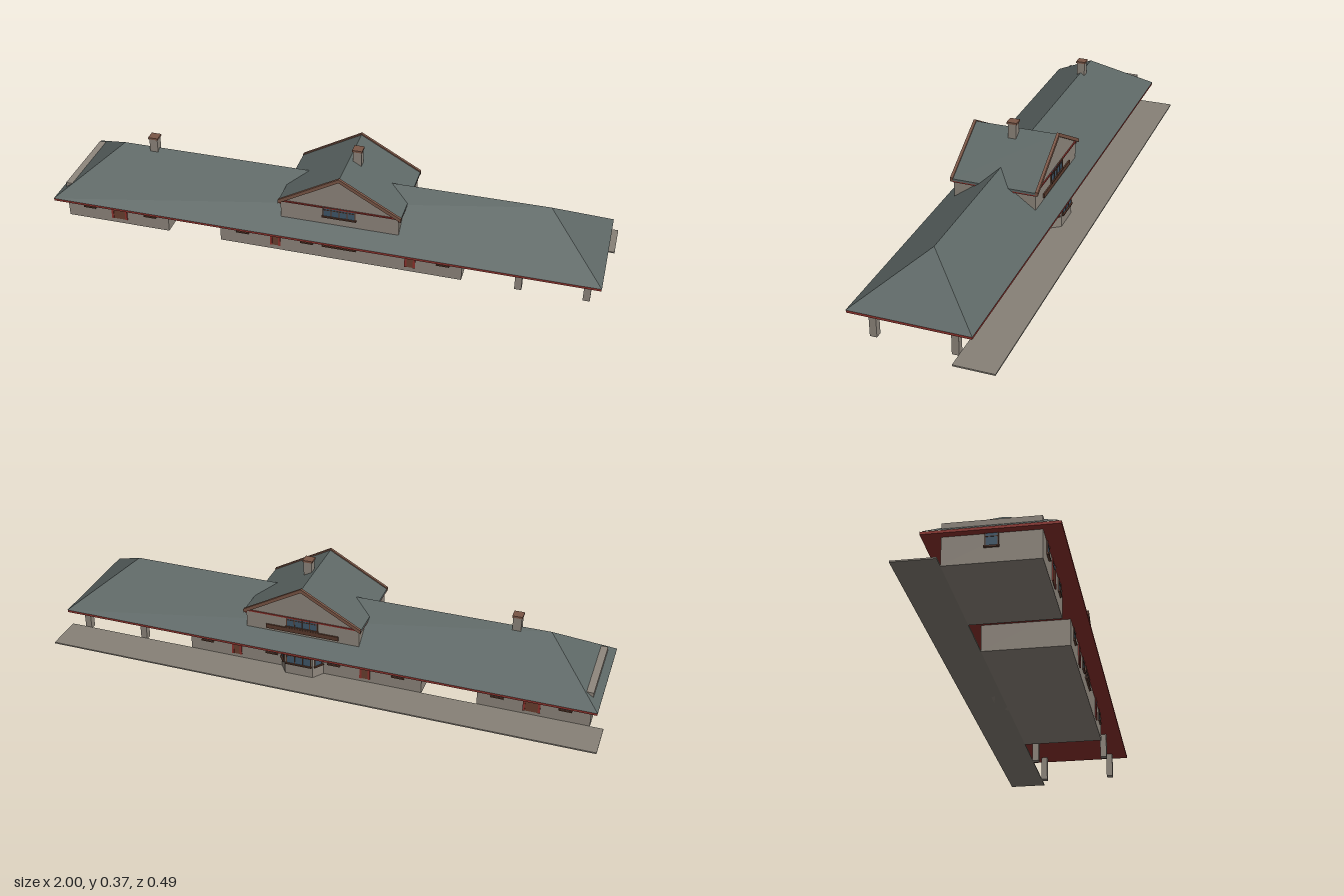
import * as THREE from 'three';

const mat = (name, color) => new THREE.MeshStandardMaterial({ name, color });

export function createModel() {
  const station = new THREE.Group();
  station.name = 'station';
  const wall = mat('stucco', 0x8f877d), roofMat = mat('roofGreen', 0x5d6765), red = mat('redTrim', 0x8f332d);
  const brown = mat('brownTrim', 0x7a5646), frameMat = mat('frameBrown', 0x5a3a2c);
  const glass = mat('glass', 0x40586a), doorMat = mat('doorBrown', 0x6a4030), paving = mat('paving', 0x878177);

  const add = (name, geo, m, parent = station) => {
    const mesh = new THREE.Mesh(geo, m);
    mesh.name = name;
    parent.add(mesh);
    return mesh;
  };
  // box given by its limits on each axis
  const box = (name, m, x0, x1, y0, y1, z0, z1, parent) => {
    const b = add(name, new THREE.BoxGeometry(x1 - x0, y1 - y0, z1 - z0), m, parent);
    b.position.set((x0 + x1) / 2, (y0 + y1) / 2, (z0 + z1) / 2);
    return b;
  };
  // outline in x, y pushed from z0 to z1
  const prism = (name, m, pts, z0, z1) => {
    const shape = new THREE.Shape(pts.map(p => new THREE.Vector2(...p)));
    const geo = new THREE.ExtrudeGeometry(shape, { depth: z1 - z0, bevelEnabled: false });
    geo.translate(0, 0, z0);
    return add(name, geo, m);
  };

  const FRONT = 0.188, BACK = -0.108, RIDGE = 0.04;

  // platform and main walls
  box('platform', paving, -1, 1, 0, 0.005, -0.246, -0.108);
  box('baggageHouse', wall, -0.954, -0.564, 0, 0.14, BACK, FRONT);
  box('waitingHall', wall, -0.366, 0.507, 0, 0.14, BACK, FRONT);

  // canopy posts
  for (const x of [0.702, 0.933])
    for (const z of [0.176, -0.096])
      box('canopyPost', wall, x - 0.012, x + 0.012, 0, 0.1, z - 0.012, z + 0.012);

  // hipped roof over a red eave
  box('eave', red, -0.979, 0.979, 0.094, 0.103, -0.166, 0.245);
  const A = [-0.98, 0.103, 0.246], B = [0.98, 0.103, 0.246], C = [0.98, 0.103, -0.167], D = [-0.98, 0.103, -0.167];
  const R0 = [-0.775, 0.253, RIDGE], R1 = [0.775, 0.253, RIDGE];
  const tris = [A, B, R1, A, R1, R0, C, D, R0, C, R0, R1, B, C, R1, D, A, R0];
  const hip = new THREE.BufferGeometry();
  hip.setAttribute('position', new THREE.Float32BufferAttribute(tris.flat(), 3));
  hip.computeVertexNormals();
  add('hipRoof', hip, roofMat);

  // cross gable
  const cx = 0.073;
  const chevron = (half, eave, peak, t) => [
    [cx - half, eave - t], [cx, peak - t], [cx + half, eave - t],
    [cx + half, eave], [cx, peak], [cx - half, eave]
  ];
  prism('gableWall', wall, [[cx - 0.21, 0.11], [cx + 0.21, 0.11], [cx + 0.21, 0.209], [cx, 0.33], [cx - 0.21, 0.209]], BACK, FRONT);
  prism('gableRoof', roofMat, chevron(0.217, 0.215, 0.336, 0.008), -0.11, 0.19);
  for (const [z0, z1] of [[0.189, 0.199], [-0.119, -0.109]])
    prism('bargeBoard', brown, chevron(0.218, 0.219, 0.341, 0.014), z0, z1);
  for (const s of [-1, 1])
    box('gableEave', red, cx + s * 0.212 - 0.004, cx + s * 0.212 + 0.004, 0.202, 0.209, -0.111, 0.192);
  box('gableBand', red, cx - 0.21, cx + 0.21, 0.21, 0.215, FRONT, FRONT + 0.004);
  box('gableBand', red, cx - 0.21, cx + 0.21, 0.21, 0.215, BACK - 0.004, BACK);
  box('gableBoard', frameMat, cx - 0.135, cx + 0.135, 0.155, 0.171, BACK - 0.005, BACK);

  // chimneys
  const chimney = (x, top) => {
    box('chimney', wall, x - 0.015, x + 0.015, 0.2, top - 0.007, RIDGE - 0.015, RIDGE + 0.015);
    box('chimneyCap', brown, x - 0.018, x + 0.018, top - 0.007, top, RIDGE - 0.018, RIDGE + 0.018);
  };
  chimney(-0.657, 0.3);
  chimney(0.1, 0.374);

  // an opening sits on a wall, facing local +z
  const place = (name, x, y, z, turn) => {
    const g = new THREE.Group();
    g.name = name;
    g.position.set(x, y, z);
    g.rotation.y = turn;
    station.add(g);
    return g;
  };
  const windowAt = (x, y, z, turn, w = 0.032, h = 0.046, panes = 1) => {
    const g = place('window', x, y, z, turn), b = 0.003;
    box('glazing', glass, -w / 2, w / 2, 0, h, 0, 0.002, g);
    for (let i = 0; i <= panes; i++) {
      const px = -w / 2 + w * i / panes;
      box('mullion', frameMat, px - b / 2, px + b / 2, 0, h, 0, 0.004, g);
    }
    box('transom', frameMat, -w / 2, w / 2, h * 0.66, h * 0.66 + 0.002, 0, 0.0035, g);
    box('head', frameMat, -w / 2 - b / 2, w / 2 + b / 2, h - b, h, 0, 0.004, g);
    box('sill', frameMat, -w / 2 - 0.004, w / 2 + 0.004, -0.004, 0.001, 0, 0.007, g);
  };
  const doorAt = (x, z, turn, w) => {
    const g = place('door', x, 0.018, z, turn);
    box('doorLeaf', doorMat, -w / 2, w / 2, 0, 0.078, 0, 0.002, g);
    for (const s of [-1, 1])
      box('doorJamb', red, s * w / 2 - 0.004, s * w / 2 + 0.004, 0, 0.08, 0, 0.004, g);
    box('doorLight', glass, -w / 2 + 0.006, w / 2 - 0.006, 0.058, 0.07, 0, 0.003, g);
  };

  // matching openings on front and back
  for (const [z, turn] of [[FRONT, 0], [BACK, Math.PI]]) {
    for (const x of [-0.868, -0.634, -0.281, -0.045, 0.441]) windowAt(x, 0.052, z, turn, 0.038);
    doorAt(-0.754, z, turn, 0.052);
    doorAt(-0.16, z, turn, 0.03);
    doorAt(0.326, z, turn, 0.03);
    windowAt(cx, 0.177, z, turn, 0.114, 0.038, 4);
  }
  windowAt(cx, 0.052, FRONT, 0, 0.114, 0.046, 4);
  windowAt(0.19, 0.052, BACK, Math.PI, 0.038);

  // end walls
  for (const z of [0.095, 0.041, -0.013]) windowAt(0.507, 0.052, z, Math.PI / 2, 0.029);
  windowAt(-0.954, 0.052, RIDGE, -Math.PI / 2, 0.038);

  // angled bay on the platform side
  const bay = new THREE.Shape([[cx - 0.08, 0.107], [cx + 0.08, 0.107], [cx + 0.052, 0.147], [cx - 0.052, 0.147]]
    .map(p => new THREE.Vector2(...p)));
  const bayGeo = new THREE.ExtrudeGeometry(bay, { depth: 0.1, bevelEnabled: false });
  bayGeo.rotateX(-Math.PI / 2);
  add('bay', bayGeo, wall);
  windowAt(cx, 0.05, -0.147, Math.PI, 0.09, 0.046, 3);
  for (const s of [-1, 1])
    windowAt(cx + s * 0.066, 0.05, -0.127, Math.PI - s * Math.atan2(0.04, 0.028), 0.03);

  return station;
}
